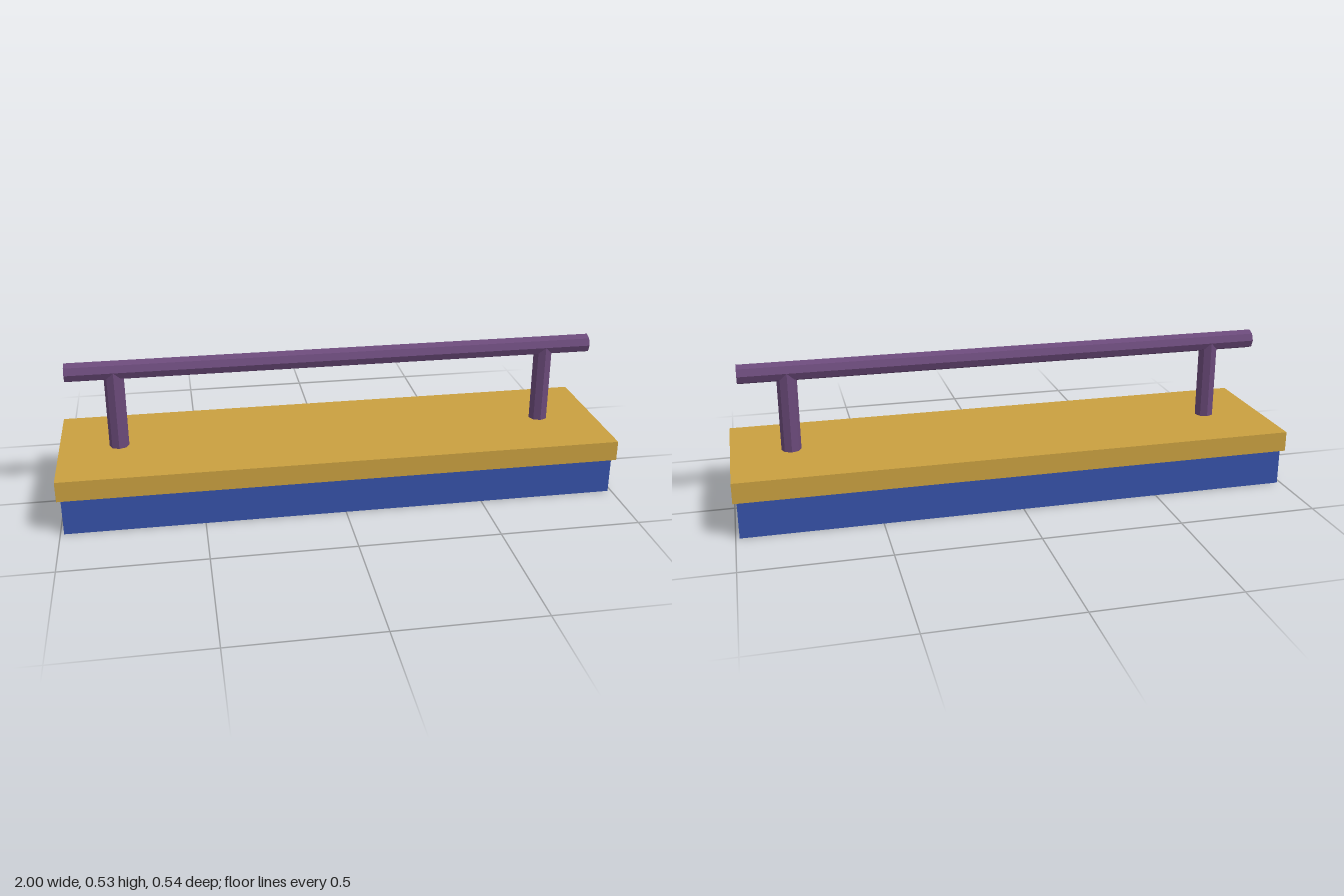
import * as THREE from 'three';

const material = (name, color, flatShading = false) => {
  const m = new THREE.MeshStandardMaterial({ color, flatShading });
  m.name = name;
  return m;
};

export function createModel() {
  const group = new THREE.Group();
  group.name = 'grindRailOnBox';
  const blue = material('blue', 0x3652a8);
  const gold = material('gold', 0xc9a040);
  const purple = material('purple', 0x6b4a7a, true);

  const add = (name, geometry, mat, x, y) => {
    const mesh = new THREE.Mesh(geometry, mat);
    mesh.name = name;
    mesh.position.set(x, y, 0);
    group.add(mesh);
    return mesh;
  };

  // Box base with an overhanging deck
  const baseH = 0.134, deckTop = 0.207;
  add('base', new THREE.BoxGeometry(1.974, baseH, 0.51), blue, 0, baseH / 2);
  add('deck', new THREE.BoxGeometry(2, deckTop - baseH, 0.54), gold, 0, (baseH + deckTop) / 2);

  // Eight-sided rail along x
  const radius = 0.035, railY = 0.497;
  const rail = add('rail', new THREE.CylinderGeometry(radius, radius, 1.91, 8), purple, 0, railY);
  rail.rotation.z = Math.PI / 2;

  // Two posts reaching the rail's centre
  for (const side of [-1, 1]) {
    add(side > 0 ? 'leftPost' : 'rightPost',
      new THREE.CylinderGeometry(radius, radius, railY - deckTop, 8),
      purple, side * 0.787, (railY + deckTop) / 2);
  }
  return group;
}
